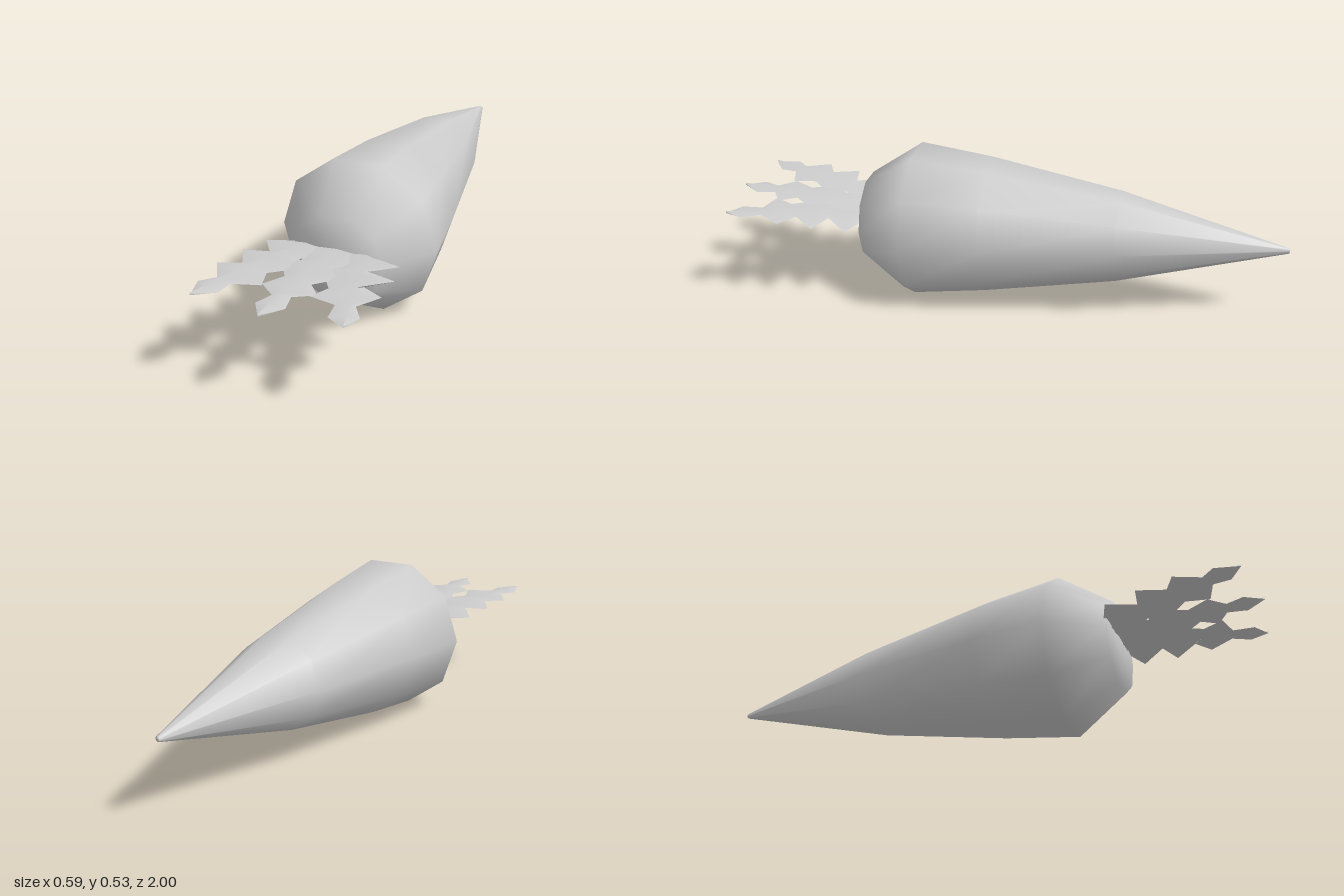
import * as THREE from 'three';

const SIDES = 10;

function geometryFrom(positions, indices) {
  const g = new THREE.BufferGeometry();
  g.setAttribute('position', new THREE.Float32BufferAttribute(positions, 3));
  g.setIndex(indices);
  g.computeVertexNormals();
  return g;
}

// Root: ten-sided rings, slightly bent sideways, with shared vertices for smooth shading
function rootGeometry() {
  // centre x, centre z, radius, tilt (change of z per unit of x)
  const rings = [
    [-0.135, -1, 0, 0],
    [-0.135, -0.998, 0.009, 0],
    [-0.08, -0.41, 0.163, 0.06],
    [-0.043, 0.06, 0.246, 0.09],
    [-0.018, 0.325, 0.28, 0.09],
    [0, 0.505, 0.158, 0.095],
    [0, 0.505, 0, 0],
  ];
  const positions = [], indices = [];
  for (const [cx, cz, r, tilt] of rings) {
    for (let j = 0; j < SIDES; j++) {
      const a = (j / SIDES) * Math.PI * 2;
      const dx = r * Math.cos(a);
      positions.push(cx + dx, 0.267 + r * Math.sin(a), cz - tilt * dx);
    }
  }
  for (let i = 0; i < rings.length - 1; i++) {
    for (let j = 0; j < SIDES; j++) {
      const k = (j + 1) % SIDES;
      const a = i * SIDES + j, b = i * SIDES + k;
      const c = a + SIDES, d = b + SIDES;
      if (i > 0) indices.push(a, b, c);
      if (i < rings.length - 2) indices.push(b, d, c);
      else indices.push(a, b, c);
      if (i === 0) indices.push(a, d, c);
    }
  }
  return geometryFrom(positions, indices);
}

// Leaf height rises toward the tip and levels out
const leafHeight = (z) => 0.346 - 0.04 * ((1 - z) / 0.5) ** 2;

// Leaf: toothed left and right edges joined to a raised midrib
function leafGeometry({ base, tip, left, right }) {
  const positions = [], indices = [];
  const n = left.length;
  for (let i = 0; i <= n; i++) {
    const l = left[i] || tip, r = right[i] || tip;
    const ribZ = i === n ? tip[1] : (l[1] + r[1]) / 2;
    const t = (ribZ - base[1]) / (tip[1] - base[1]);
    const ribX = base[0] + (tip[0] - base[0]) * t;
    positions.push(
      l[0], leafHeight(l[1]) - 0.008, l[1],
      ribX, leafHeight(ribZ), ribZ,
      r[0], leafHeight(r[1]) - 0.008, r[1],
    );
  }
  for (let i = 0; i < n; i++) {
    for (let s = 0; s < 2; s++) {
      const a = i * 3 + s;
      indices.push(a, a + 3, a + 1, a + 1, a + 3, a + 4);
    }
  }
  return geometryFrom(positions, indices);
}

// Edge points are [x, z], from the base outward
const leaves = {
  leftmostLeaf: {
    base: [0.1, 0.48], tip: [0.278, 0.945],
    left: [[0.05, 0.48], [0.02, 0.54], [0.08, 0.61], [0.04, 0.66], [0.125, 0.765], [0.103, 0.835], [0.193, 0.845], [0.21, 0.915]],
    right: [[0.13, 0.49], [0.23, 0.51], [0.166, 0.6], [0.27, 0.62], [0.21, 0.705], [0.288, 0.74], [0.25, 0.825], [0.294, 0.88]],
  },
  middleLeaf: {
    base: [0.0, 0.47], tip: [0.036, 1],
    left: [[-0.085, 0.47], [-0.1, 0.56], [-0.05, 0.63], [-0.09, 0.68], [-0.03, 0.76], [-0.06, 0.835], [0.003, 0.88], [-0.013, 0.94]],
    right: [[0.085, 0.47], [0.12, 0.56], [0.08, 0.63], [0.13, 0.68], [0.07, 0.77], [0.12, 0.82], [0.06, 0.865], [0.082, 0.93]],
  },
  rightmostLeaf: {
    base: [-0.1, 0.48], tip: [-0.204, 0.99],
    left: [[-0.13, 0.5], [-0.235, 0.55], [-0.165, 0.635], [-0.25, 0.66], [-0.193, 0.745], [-0.257, 0.785], [-0.2, 0.865], [-0.235, 0.91]],
    right: [[-0.05, 0.48], [-0.01, 0.56], [-0.06, 0.63], [-0.01, 0.68], [-0.087, 0.77], [-0.055, 0.845], [-0.14, 0.88], [-0.14, 0.94]],
  },
};

export function createModel() {
  const model = new THREE.Group();
  model.name = 'carrot';
  const grey = new THREE.MeshStandardMaterial({ color: 0xcccccc, side: THREE.DoubleSide });
  grey.name = 'light grey';

  const root = new THREE.Mesh(rootGeometry(), grey);
  root.name = 'root';
  model.add(root);

  // Leafy top: three overlapping leaves
  const foliage = new THREE.Group();
  foliage.name = 'foliage';
  for (const [name, leaf] of Object.entries(leaves)) {
    const mesh = new THREE.Mesh(leafGeometry(leaf), grey);
    mesh.name = name;
    foliage.add(mesh);
  }
  model.add(foliage);
  return model;
}
